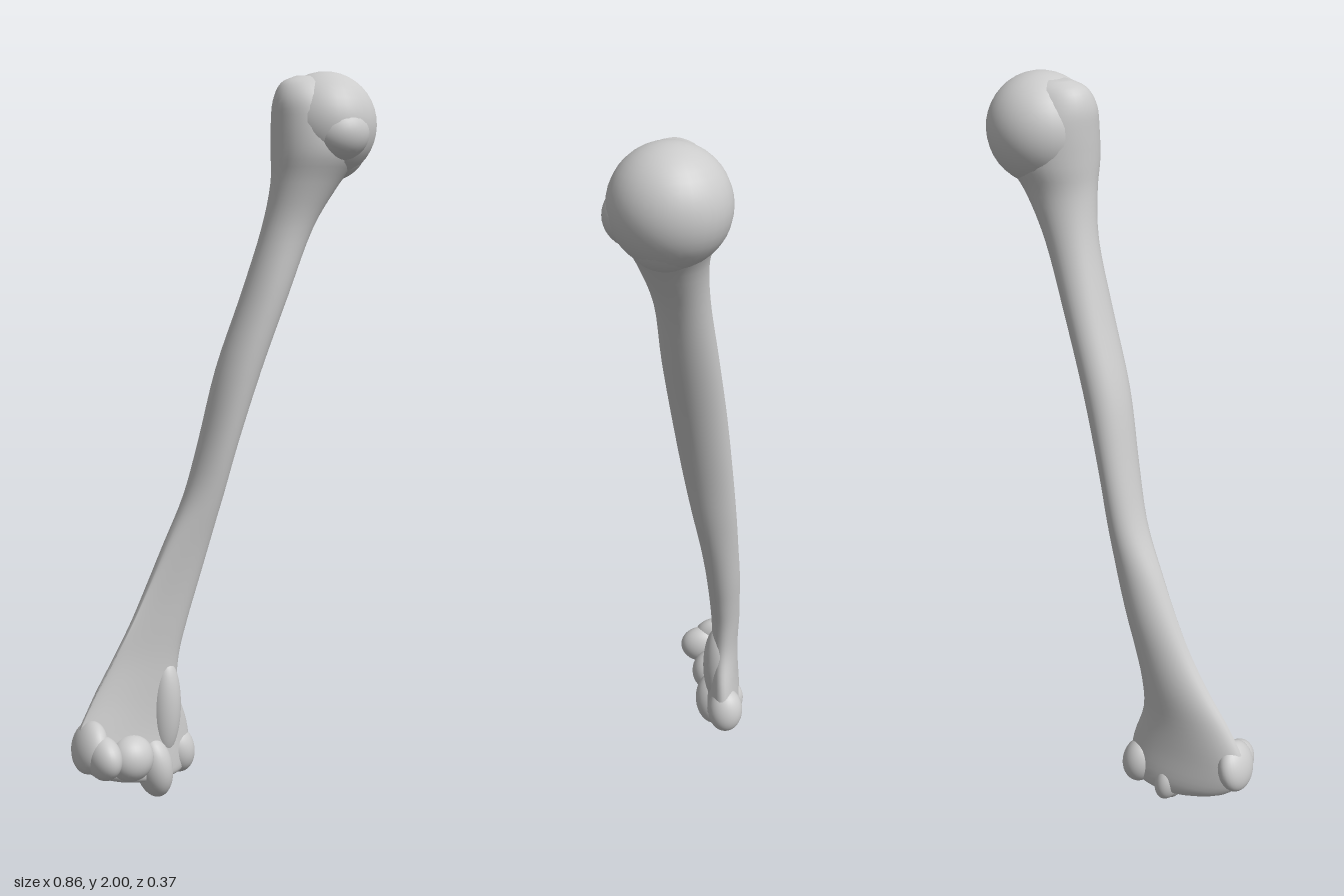
import * as THREE from 'three';

// Cross-sections of the bone: y, x min, x max, z min, z max, front hollow on the -x side
const SECTIONS = [
  [0.055, -0.22, -0.14, -0.14, -0.09, 0],
  [0.065, -0.30, -0.09, -0.165, -0.07, 0],
  [0.11, -0.39, -0.065, -0.175, -0.065, 0.01],
  [0.20, -0.42, -0.075, -0.17, -0.065, 0.04],
  [0.30, -0.375, -0.105, -0.168, -0.065, 0.06],
  [0.40, -0.31, -0.10, -0.17, -0.065, 0.06],
  [0.50, -0.25, -0.075, -0.168, -0.06, 0.05],
  [0.60, -0.20, -0.045, -0.165, -0.052, 0.04],
  [0.72, -0.145, -0.012, -0.157, -0.04, 0.025],
  [0.85, -0.085, 0.02, -0.148, -0.022, 0.01],
  [1.00, -0.045, 0.056, -0.135, 0.0, 0],
  [1.20, -0.003, 0.115, -0.115, 0.03, 0],
  [1.40, 0.062, 0.185, -0.09, 0.055, 0],
  [1.58, 0.113, 0.255, -0.066, 0.072, 0],
  [1.70, 0.13, 0.325, -0.062, 0.11, 0],
  [1.78, 0.13, 0.385, -0.08, 0.145, 0],
  [1.86, 0.13, 0.40, -0.082, 0.145, 0],
  [1.92, 0.133, 0.37, -0.065, 0.125, 0],
  [1.965, 0.155, 0.33, -0.04, 0.09, 0],
  [1.985, 0.20, 0.29, -0.01, 0.05, 0],
];

// Catmull-Rom blend between neighbouring sections
function sectionAt(t) {
  const last = SECTIONS.length - 1;
  const i = Math.min(Math.floor(t), last - 1);
  const f = t - i;
  const row = (k) => SECTIONS[Math.max(0, Math.min(last, k))];
  const [a, b, c, d] = [row(i - 1), row(i), row(i + 1), row(i + 2)];
  return b.map((v, k) => v + 0.5 * f * (c[k] - a[k]
    + f * (2 * a[k] - 5 * v + 4 * c[k] - d[k] + f * (3 * (v - c[k]) + d[k] - a[k]))));
}

function boneGeometry(sides = 36, steps = 4) {
  const pos = [], index = [];
  const rows = (SECTIONS.length - 1) * steps;
  for (let r = 0; r <= rows; r++) {
    const [y, x0, x1, z0, z1, hollow] = sectionAt(r / steps);
    for (let s = 0; s < sides; s++) {
      const a = (s / sides) * Math.PI * 2;
      const u = Math.cos(a), v = Math.sin(a);
      const z = (z0 + z1) / 2 + (z1 - z0) / 2 * v - hollow * (1 - u) / 2 * Math.max(0, v);
      pos.push((x0 + x1) / 2 + (x1 - x0) / 2 * u, y, z);
    }
  }
  for (let r = 0; r < rows; r++) {
    for (let s = 0; s < sides; s++) {
      const n = (s + 1) % sides;
      const a = r * sides + s, b = r * sides + n;
      index.push(a, a + sides, b, b, a + sides, b + sides);
    }
  }
  // End caps
  for (const [row, flip] of [[0, false], [rows, true]]) {
    const [y, x0, x1, z0, z1] = sectionAt(row / steps);
    const c = pos.length / 3;
    pos.push((x0 + x1) / 2, y, (z0 + z1) / 2);
    for (let s = 0; s < sides; s++) {
      const a = row * sides + s, b = row * sides + (s + 1) % sides;
      index.push(c, flip ? b : a, flip ? a : b);
    }
  }
  const g = new THREE.BufferGeometry();
  g.setAttribute('position', new THREE.Float32BufferAttribute(pos, 3));
  g.setIndex(index);
  g.computeVertexNormals();
  return g;
}

export function createModel() {
  const group = new THREE.Group();
  const material = new THREE.MeshStandardMaterial({ color: 0xcccccc, roughness: 0.8 });

  const shaft = new THREE.Mesh(boneGeometry(), material);
  shaft.name = 'shaft';
  group.add(shaft);

  // Rounded lumps: name, centre, radii, tilt about z
  const lumps = [
    ['ballHead', [0.287, 1.856, 0.03], [0.142, 0.144, 0.145], 0],
    ['frontTubercle', [0.28, 1.83, 0.105], [0.085, 0.075, 0.08], 0.3],
    ['headUnderside', [0.32, 1.785, 0.04], [0.09, 0.07, 0.085], 0.6],
    ['outerEpicondyle', [-0.388, 0.185, -0.105], [0.042, 0.072, 0.07], -0.25],
    ['outerKnuckle', [-0.37, 0.165, -0.06], [0.045, 0.06, 0.068], 0],
    ['middleKnuckle', [-0.27, 0.135, -0.088], [0.065, 0.065, 0.06], 0],
    ['lowerRidge', [-0.19, 0.09, -0.1], [0.05, 0.09, 0.062], 0.15],
    ['backRidge', [-0.195, 0.085, -0.14], [0.035, 0.06, 0.047], 0.15],
    ['innerEpicondyle', [-0.098, 0.115, -0.128], [0.05, 0.07, 0.053], 0.2],
    ['innerColumn', [-0.15, 0.25, -0.105], [0.045, 0.14, 0.045], -0.05],
  ];
  for (const [name, centre, radii, tilt] of lumps) {
    const mesh = new THREE.Mesh(new THREE.SphereGeometry(1, 32, 20), material);
    mesh.name = name;
    mesh.position.set(...centre);
    mesh.scale.set(...radii);
    mesh.rotation.z = tilt;
    group.add(mesh);
  }
  return group;
}
